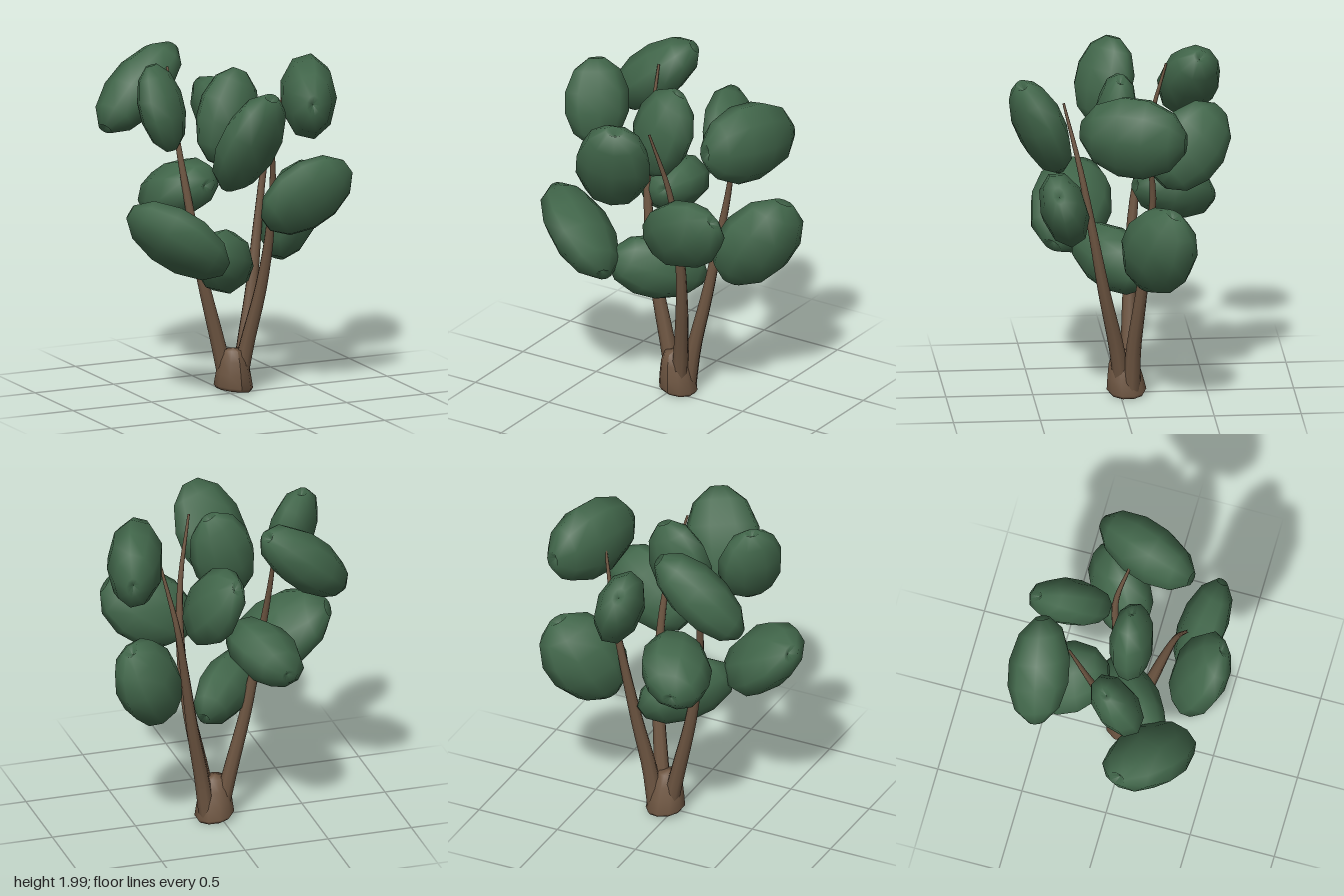
import * as THREE from 'three';

const leafGreen = new THREE.MeshStandardMaterial({ color: 0x41664a });
leafGreen.name = 'leafGreen';
const barkBrown = new THREE.MeshStandardMaterial({ color: 0x6e5642 });
barkBrown.name = 'barkBrown';

const V = (a) => new THREE.Vector3(...a);

// Unit leaf clump: rounded pod with a dimple at both ends
const podProfile = [
  [0, -0.88], [0.25, -0.99], [0.73, -0.72], [1, -0.24],
  [1, 0.24], [0.73, 0.72], [0.25, 0.99], [0, 0.86],
].map(([r, y]) => new THREE.Vector2(r, y));

// Leaf clump along a long axis, flattened along a facing direction, filling the box min..max
function leafClump(min, max, axis, facing) {
  const u = V(axis).normalize();
  const n = V(facing);
  n.addScaledVector(u, -n.dot(u)).normalize();
  const v = u.clone().cross(n);
  const g = new THREE.LatheGeometry(podProfile, 9);
  g.scale(0.24, 0.32, 0.155);
  g.applyMatrix4(new THREE.Matrix4().makeBasis(v, u, n));
  g.computeBoundingBox();
  const size = g.boundingBox.getSize(new THREE.Vector3());
  const mid = g.boundingBox.getCenter(new THREE.Vector3());
  const target = V(max).sub(V(min)).divide(size);
  const centre = V(min).add(V(max)).multiplyScalar(0.5);
  g.translate(-mid.x, -mid.y, -mid.z);
  g.scale(target.x, target.y, target.z);
  g.translate(centre.x, centre.y, centre.z);
  return new THREE.Mesh(g, leafGreen);
}

// Tapered stem following a curve
function stem(points, r0, r1) {
  const rings = 18, sides = 8;
  const curve = new THREE.CatmullRomCurve3(points.map(V));
  const g = new THREE.TubeGeometry(curve, rings, 1, sides);
  const pos = g.attributes.position;
  const p = new THREE.Vector3();
  for (let i = 0; i <= rings; i++) {
    const c = curve.getPointAt(i / rings);
    const r = THREE.MathUtils.lerp(r0, r1, i / rings);
    for (let j = 0; j <= sides; j++) {
      const k = i * (sides + 1) + j;
      p.fromBufferAttribute(pos, k).sub(c).multiplyScalar(r).add(c);
      pos.setXYZ(k, p.x, p.y, p.z);
    }
  }
  return new THREE.Mesh(g, barkBrown);
}

export function createModel() {
  const model = new THREE.Group();
  model.name = 'bush';

  // Flared stump, with a slightly slanted foot and a top leaning to one side
  const stumpProfile = [[0, 0.025], [0.1, 0.025], [0.114, 0.045], [0.102, 0.12], [0.086, 0.2], [0.058, 0.265], [0, 0.275]]
    .map(([r, y]) => new THREE.Vector2(r, y));
  const stumpGeo = new THREE.LatheGeometry(stumpProfile, 10);
  const sp = stumpGeo.attributes.position;
  for (let i = 0; i < sp.count; i++) {
    const x = sp.getX(i), y = sp.getY(i);
    sp.setY(i, y - x * 0.15 * (1 - y / 0.3));
    sp.setX(i, x + 0.04 - y * 0.05);
    sp.setZ(i, sp.getZ(i) - 0.04 + y * 0.1);
  }
  stumpGeo.computeVertexNormals();
  const stump = new THREE.Mesh(stumpGeo, barkBrown);
  stump.name = 'stump';
  model.add(stump);

  // Three stems, leaning apart
  const stems = new THREE.Group();
  stems.name = 'stems';
  [
    [[0.0, 0.08, -0.05], [-0.05, 0.3, -0.055], [-0.145, 0.7, -0.07], [-0.21, 1.1, -0.1], [-0.25, 1.5, -0.18], [-0.26, 1.9, -0.29]],
    [[0.06, 0.06, -0.01], [0.095, 0.3, 0.025], [0.15, 0.65, 0.1], [0.175, 1.0, 0.165], [0.155, 1.4, 0.24], [0.075, 1.78, 0.33]],
    [[0.09, 0.06, -0.06], [0.125, 0.3, -0.068], [0.185, 0.6, -0.1], [0.25, 1.0, -0.145], [0.3, 1.3, -0.165], [0.39, 1.72, -0.1]],
  ].forEach((pts, i) => {
    const s = stem(pts, 0.05, 0.007);
    s.name = 'stem' + (i + 1);
    stems.add(s);
  });
  model.add(stems);

  // Leaf clumps: box min, box max, long axis, facing
  const leaves = new THREE.Group();
  leaves.name = 'leaves';
  [
    // upper tier
    [[-0.63, 1.5, -0.12], [-0.305, 2.0, 0.22], [-0.15, 0.95, -0.22], [0.65, 0.25, 0.7]],
    [[-0.64, 1.52, -0.61], [-0.11, 2.0, -0.25], [0.73, 0.65, -0.21], [-0.64, 0.72, 0.05]],
    [[-0.31, 1.29, 0.27], [0.13, 1.89, 0.63], [0.3, 0.85, 0.45], [0.35, -0.5, 0.75]],
    [[-0.22, 1.37, -0.1], [0.16, 1.93, 0.15], [0.38, 0.92, -0.1], [0, 0.1, 1]],
    [[0.0, 1.28, -0.63], [0.305, 1.78, -0.16], [-0.3, 0.65, -0.68], [0.93, 0.32, -0.14]],
    [[0.33, 1.46, -0.34], [0.7, 1.94, 0.27], [-0.32, 0.05, 0.95], [0.95, 0, 0.32]],
    // lower tier
    [[0.05, 0.98, 0.2], [0.59, 1.45, 0.49], [0.8, 0.55, 0.18], [0, -0.3, 0.95]],
    [[0.26, 0.73, -0.4], [0.71, 1.28, 0.02], [0.38, 0.88, -0.25], [0.72, -0.15, 0.55]],
    [[-0.385, 0.98, -0.57], [0.03, 1.34, -0.08], [0.28, 0.18, 0.93], [-0.25, 0.9, 0]],
    [[-0.72, 0.77, 0.0], [-0.18, 1.25, 0.48], [-0.75, 0.5, -0.42], [0.6, 0.7, -0.25]],
    [[-0.29, 0.615, -0.18], [0.17, 0.99, 0.26], [-0.6, 0.4, 0.65], [0.68, 0.1, 0.65]],
  ].forEach((spec, i) => {
    const leaf = leafClump(...spec);
    leaf.name = 'leafClump' + (i + 1);
    leaves.add(leaf);
  });
  model.add(leaves);

  return model;
}
